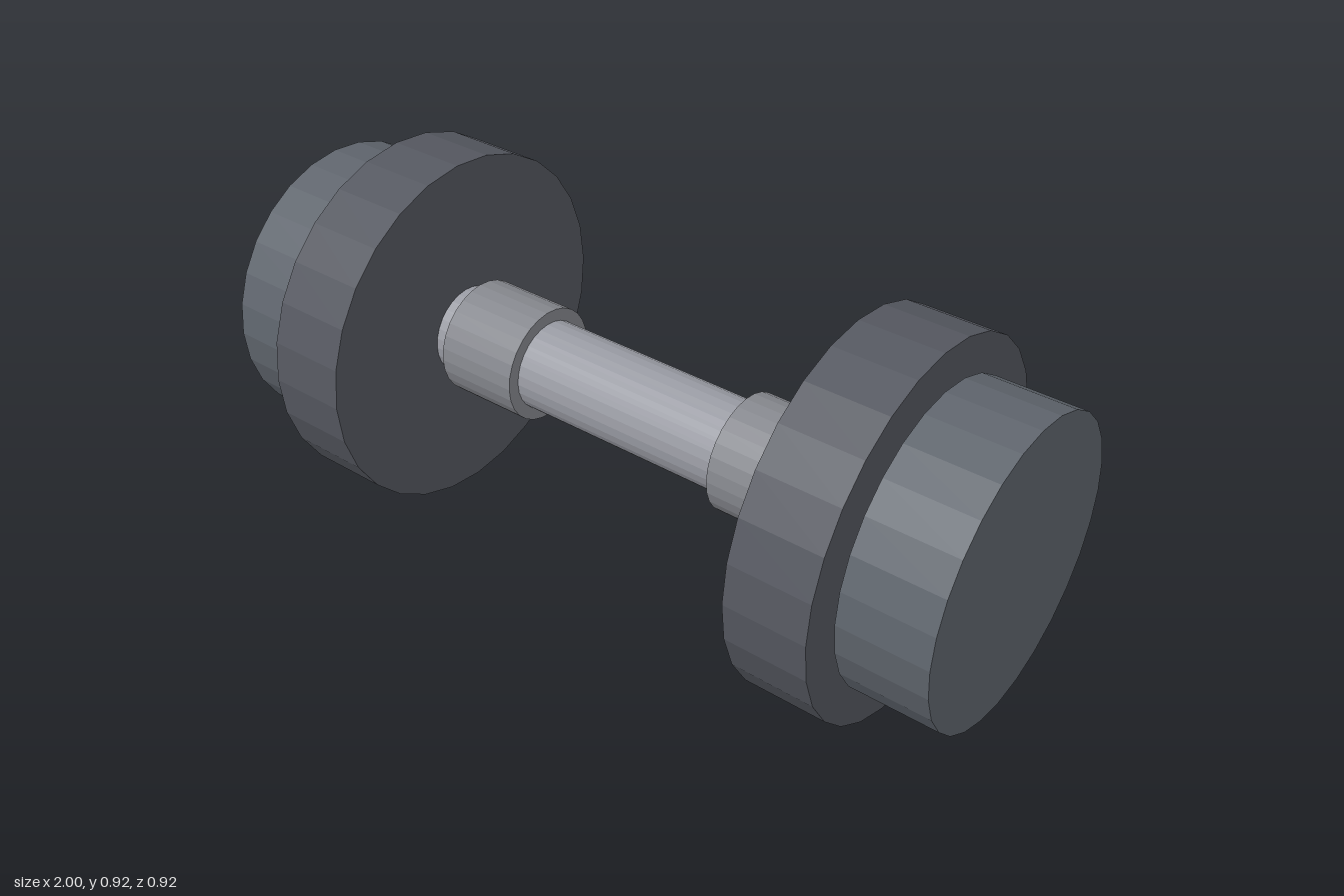
import * as THREE from 'three';

const SIDES = 28;
const AXIS_Y = 0.46;

function material(color) {
  return new THREE.MeshStandardMaterial({ color, flatShading: true });
}

// Solid disc or rod along x, from x0 to x1
function rod(name, radius, x0, x1, mat) {
  const geometry = new THREE.CylinderGeometry(radius, radius, x1 - x0, SIDES);
  geometry.rotateZ(-Math.PI / 2);
  const mesh = new THREE.Mesh(geometry, mat);
  mesh.name = name;
  mesh.position.set((x0 + x1) / 2, AXIS_Y, 0);
  return mesh;
}

export function createModel() {
  const model = new THREE.Group();
  model.name = 'dumbbell';

  const barMat = material(0x9a9ca4);
  const collarMat = material(0x86888e);
  const plateMat = material(0x555860);
  const endMat = material(0x5f656d);

  // Handle bar running into the end weights
  model.add(rod('handleBar', 0.115, -0.8, 0.8, barMat));

  // Collar, large plate and small end plate on each side
  for (const [side, s] of [['left', 1], ['right', -1]]) {
    const add = (part, radius, a, b, mat) =>
      model.add(rod(side + part, radius, Math.min(s * a, s * b), Math.max(s * a, s * b), mat));
    add('Collar', 0.147, 0.295, 0.515, collarMat);
    add('LargePlate', 0.46, 0.565, 0.77, plateMat);
    add('EndPlate', 0.37, 0.78, 1.0, endMat);
  }
  return model;
}
